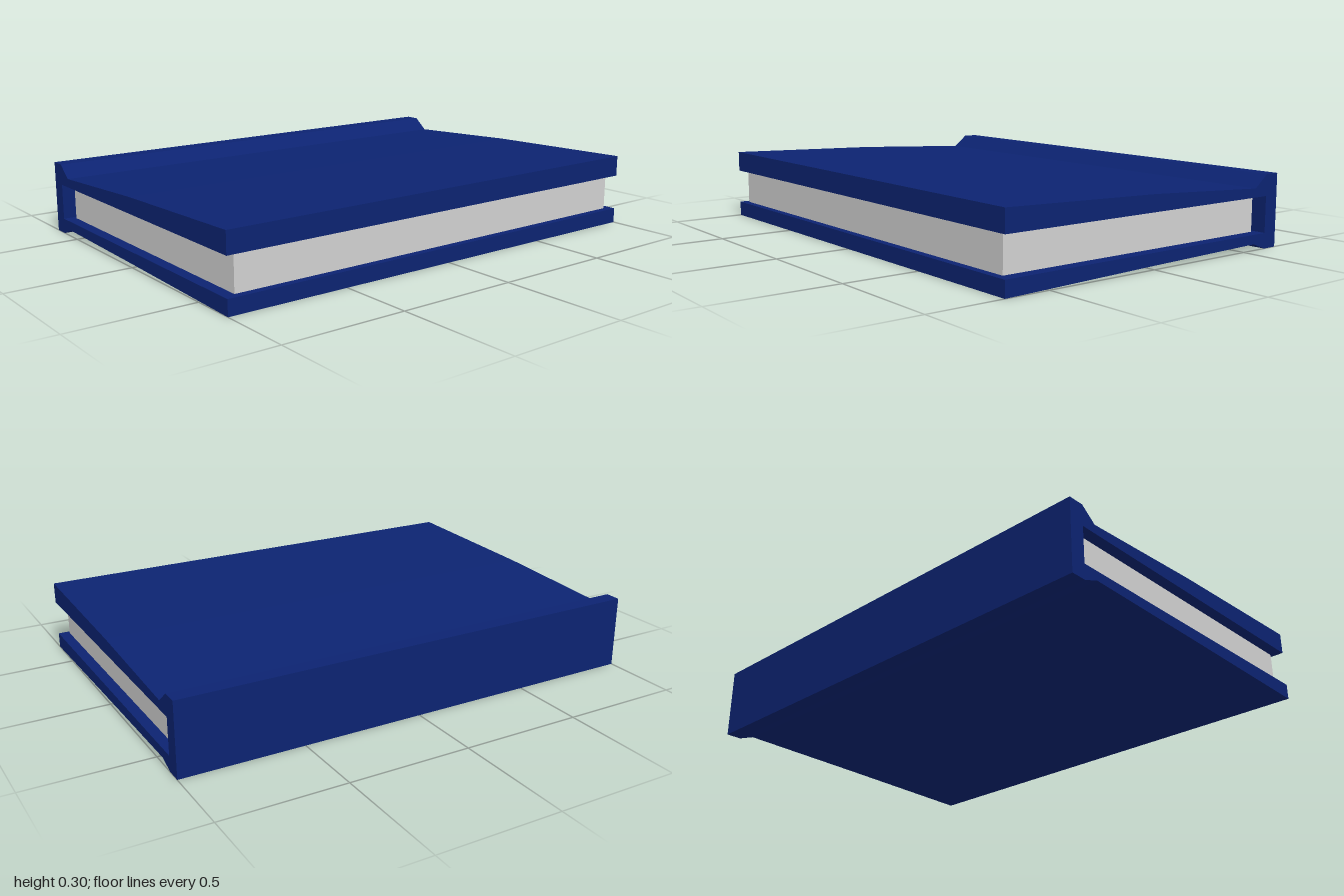
import * as THREE from 'three';

export function createModel() {
  const book = new THREE.Group();
  book.name = 'book';
  const coverBlue = new THREE.MeshStandardMaterial({ color: 0x0c2371 });
  coverBlue.name = 'cover blue';
  const paperGrey = new THREE.MeshStandardMaterial({ color: 0xd0d0d0 });
  paperGrey.name = 'paper grey';

  // Cover: one C-shaped section (spine, hinge grooves, bowed boards) run along z
  const section = [
    [-0.69, 0], [-0.625, 0], [-0.56, 0.025], [0, 0.015], [0.69, 0],
    [0.69, 0.063], [-0.625, 0.063], [-0.625, 0.211], [0.69, 0.211],
    [0.69, 0.298], [0, 0.277], [-0.56, 0.247], [-0.625, 0.298], [-0.69, 0.298],
  ].map(([x, y]) => new THREE.Vector2(x, y));
  const coverGeometry = new THREE.ExtrudeGeometry(new THREE.Shape(section), {
    depth: 2, bevelEnabled: false,
  });
  coverGeometry.translate(0, 0, -1);
  const cover = new THREE.Mesh(coverGeometry, coverBlue);
  cover.name = 'cover';

  // Page block, set in from the cover edges
  const pages = new THREE.Mesh(new THREE.BoxGeometry(1.26, 0.142, 1.915), paperGrey);
  pages.name = 'pages';
  pages.position.set(0.035, 0.136, 0);

  book.add(cover, pages);
  return book;
}
